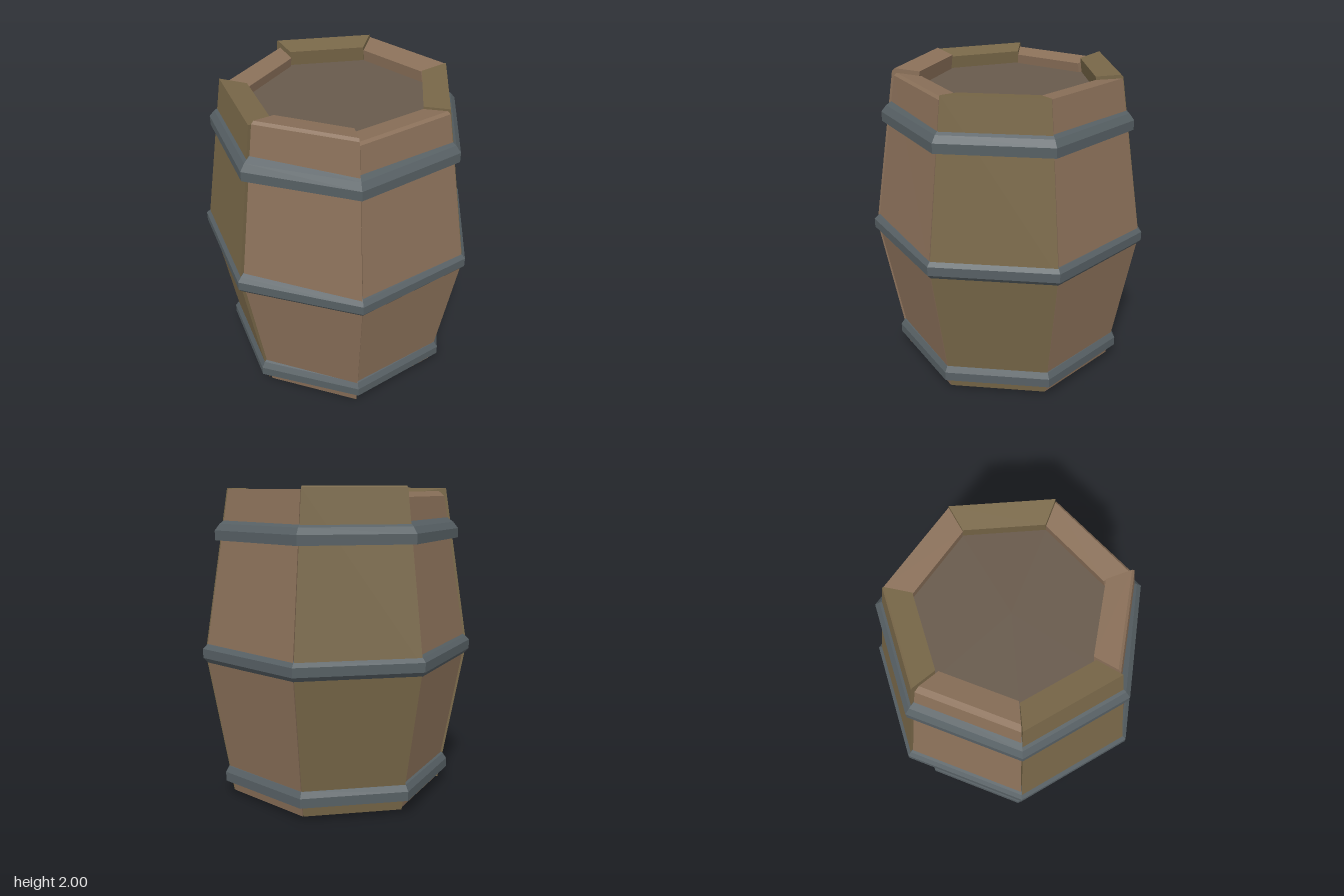
import * as THREE from 'three';

const SIDES = 7;
const STEP = (Math.PI * 2) / SIDES;

const material = (color) => new THREE.MeshStandardMaterial({ color, flatShading: true });

function addMesh(parent, geometry, mat, name) {
  const flat = geometry.index ? geometry.toNonIndexed() : geometry;
  flat.computeVertexNormals();
  const mesh = new THREE.Mesh(flat, mat);
  mesh.name = name;
  parent.add(mesh);
  return mesh;
}

// One bent plank: a closed (radius, height) section swept between two corners
function staveGeometry(k, { top, bottom, chamfer, inset }) {
  const profile = [
    [0.55, bottom + 0.025], [0.715, bottom], [0.88, 0.965],
    [0.715 + chamfer * 0.17, top - chamfer],
    ...(chamfer ? [[0.715 - chamfer, top]] : []),
    [0.55, top - 0.025], [0.715, 0.965],
  ];
  const n = profile.length;
  const gap = 0.003;
  const section = (angle, dr) => profile.map(([r, y]) =>
    new THREE.Vector3((r - dr) * Math.cos(angle), y, (r - dr) * Math.sin(angle)));
  const a = section(k * STEP + gap, inset[0]);
  const b = section((k + 1) * STEP - gap, inset[1]);

  const corners = [];
  for (let i = 0; i < n; i++) {
    const j = (i + 1) % n;
    corners.push(a[i], a[j], b[j], a[i], b[j], b[i]);
  }
  // End caps
  const outline = profile.map(([r, y]) => new THREE.Vector2(r, y));
  for (const [p, q, s] of THREE.ShapeUtils.triangulateShape(outline, [])) {
    corners.push(a[p], a[s], a[q], b[p], b[q], b[s]);
  }
  return new THREE.BufferGeometry().setFromPoints(corners);
}

// Seven-sided ring from a closed profile, with a corner on +x
function ringGeometry(profile) {
  const points = [...profile, profile[0]].map(([r, y]) => new THREE.Vector2(r, y));
  return new THREE.LatheGeometry(points, SIDES, Math.PI / 2);
}

export function createModel() {
  const barrel = new THREE.Group();
  barrel.name = 'barrel';

  const brown = material(0x8a7059);
  const olive = material(0x786748);
  const lidWood = material(0x685a4c);
  const iron = material(0x565f63);

  // Staves, each a little different in length and fit
  const staves = new THREE.Group();
  staves.name = 'staves';
  barrel.add(staves);
  const plans = [
    { wood: olive, top: 1.985, bottom: 0.025, chamfer: 0, inset: [0, 0] },
    { wood: brown, top: 1.972, bottom: 0.025, chamfer: 0.015, inset: [0, 0.01] },
    { wood: brown, top: 2, bottom: 0, chamfer: 0.015, inset: [0, 0.02] },
    { wood: olive, top: 1.985, bottom: 0.025, chamfer: 0, inset: [0, 0] },
    { wood: brown, top: 1.965, bottom: 0.025, chamfer: 0.03, inset: [0.015, 0.015] },
    { wood: olive, top: 2, bottom: 0.025, chamfer: 0.01, inset: [0, 0] },
    { wood: brown, top: 1.98, bottom: 0.025, chamfer: 0, inset: [0, 0.005] },
  ];
  plans.forEach((plan, k) => addMesh(staves, staveGeometry(k, plan), plan.wood, `stave${k + 1}`));

  // Recessed heads at both ends
  for (const [name, y] of [['topHead', 1.86], ['bottomHead', 0.13]]) {
    const head = new THREE.CylinderGeometry(0.6, 0.6, 0.04, SIDES, 1, false, Math.PI / 2);
    addMesh(barrel, head, lidWood, name).position.y = y;
  }

  // Iron hoops
  const hoops = {
    topHoop: [[0.7, 1.67], [0.8, 1.67], [0.8, 1.73], [0.768, 1.77], [0.7, 1.82]],
    middleHoop: [[0.82, 0.89], [0.868, 0.905], [0.897, 0.937], [0.897, 0.995], [0.872, 1.02], [0.82, 1.06]],
    bottomHoop: [[0.68, 0.1], [0.771, 0.1], [0.771, 0.16], [0.747, 0.197], [0.68, 0.23]],
  };
  for (const [name, profile] of Object.entries(hoops)) {
    addMesh(barrel, ringGeometry(profile), iron, name);
  }

  // Centre the odd-sided body on its bounds
  for (const part of barrel.children) part.position.x -= 0.046;
  return barrel;
}
